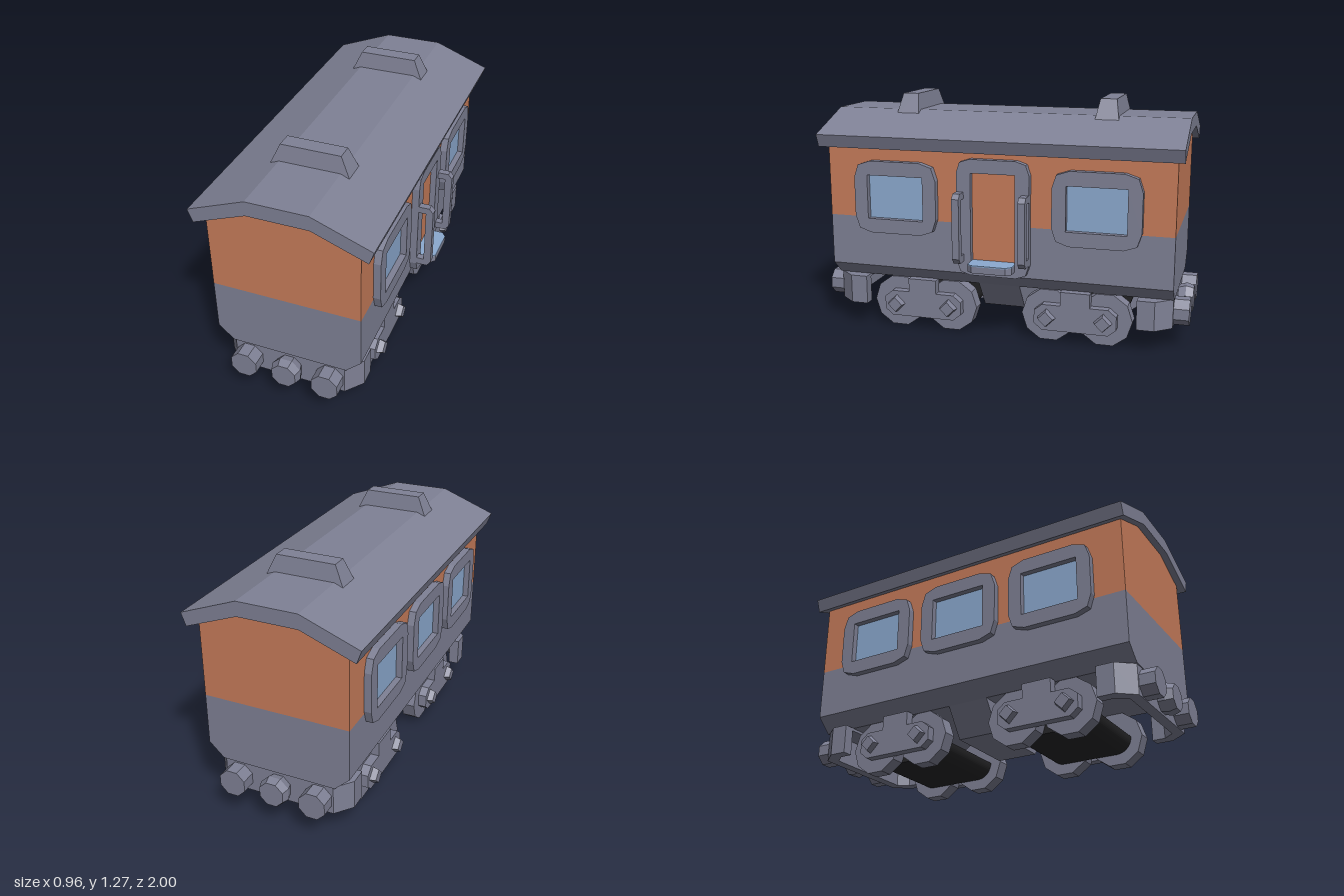
import * as THREE from 'three';

const mat = (name, color) => {
  const m = new THREE.MeshStandardMaterial({ color });
  m.name = name;
  return m;
};

export function createModel() {
  const grey = mat('slate grey', 0x7f8195);
  const orange = mat('terracotta', 0xc77c5a);
  const glass = mat('glass blue', 0x8caad0);
  const dark = mat('underframe dark', 0x262628);

  const model = new THREE.Group();
  model.name = 'railwayCarriage';
  const car = new THREE.Group();
  car.name = 'carriage';
  car.position.x = -0.022;
  model.add(car);

  const add = (name, geo, material, x = 0, y = 0, z = 0) => {
    const m = new THREE.Mesh(geo, material);
    m.name = name;
    m.position.set(x, y, z);
    car.add(m);
    return m;
  };
  const poly = (pts) => new THREE.Shape(pts.map(([x, y]) => new THREE.Vector2(x, y)));
  // Half profile mirrored about x = 0
  const mirrored = (pts) => poly([...pts, ...pts.map(([x, y]) => [-x, y]).reverse()]);
  // Extrude centred on its own depth, along z or turned to run along x
  const extrude = (shape, depth) =>
    new THREE.ExtrudeGeometry(shape, { depth, bevelEnabled: false, curveSegments: 2 }).translate(0, 0, -depth / 2);
  const extrudeX = (shape, depth) => extrude(shape, depth).rotateY(Math.PI / 2);

  const roundRect = (w, h, r) => {
    const a = w / 2, b = h / 2, s = new THREE.Shape();
    s.moveTo(-a + r, -b);
    s.lineTo(a - r, -b);
    s.quadraticCurveTo(a, -b, a, -b + r);
    s.lineTo(a, b - r);
    s.quadraticCurveTo(a, b, a - r, b);
    s.lineTo(-a + r, b);
    s.quadraticCurveTo(-a, b, -a, b - r);
    s.lineTo(-a, -b + r);
    s.quadraticCurveTo(-a, -b, -a + r, -b);
    return s;
  };
  const frame = (w, h, r, iw, ih, dy = 0) => {
    const s = roundRect(w, h, r);
    const [a, b] = [iw / 2, ih / 2];
    s.holes.push(new THREE.Path([[-a, dy - b], [-a, dy + b], [a, dy + b], [a, dy - b]]
      .map(([x, y]) => new THREE.Vector2(x, y))));
    return s;
  };

  // Body shell
  add('lowerBody', extrude(mirrored([[0.305, 0.28], [0.384, 0.355], [0.384, 0.626]]), 1.85), grey);
  add('upperBody', extrude(mirrored([[0.384, 0.626], [0.384, 1.03], [0.157, 1.115]]), 1.85), orange);

  // Angled roof with raised vents
  add('roof', extrude(mirrored([[0.157, 1.108], [0.433, 1.003], [0.457, 1.07], [0.157, 1.185]]), 1.92), grey);
  for (const z of [0.54, -0.54]) {
    const vent = extrude(mirrored([[0.204, 1.163], [0.155, 1.27]]), 0.124);
    const p = vent.attributes.position;
    for (let i = 0; i < p.count; i++) if (p.getY(i) > 1.2) p.setZ(i, p.getZ(i) * 0.68);
    vent.computeVertexNormals();
    add('roofVent', vent, grey, 0, 0, z);
  }

  // Windows: two beside the door, three on the other side
  const windowAt = (side, z) => {
    add('windowFrame', extrudeX(frame(0.456, 0.386, 0.09, 0.31, 0.234), 0.04), grey, side * 0.401, 0.743, z);
    add('windowGlass', new THREE.BoxGeometry(0.008, 0.25, 0.325), glass, side * 0.385, 0.743, z);
  };
  for (const z of [0.537, -0.537]) windowAt(1, z);
  for (const z of [0.537, 0, -0.537]) windowAt(-1, z);

  // Door with frame, step and handrails
  add('doorFrame', extrudeX(frame(0.386, 0.612, 0.07, 0.236, 0.505, -0.018), 0.04), grey, 0.401, 0.665, 0);
  add('doorPanel', new THREE.BoxGeometry(0.008, 0.52, 0.25), orange, 0.385, 0.647, 0);
  const stepShape = poly([[0.38, -0.118], [0.475, -0.118], [0.499, -0.09], [0.499, 0.09], [0.475, 0.118], [0.38, 0.118]]);
  const slab = (h) => extrude(stepShape, h).rotateX(-Math.PI / 2);
  add('doorStep', slab(0.034), grey, 0, 0.412, 0);
  add('stepTread', slab(0.006), glass, 0, 0.432, 0);
  const rail = poly([[0.415, 0.433], [0.478, 0.433], [0.499, 0.46], [0.499, 0.775], [0.478, 0.8], [0.415, 0.8],
    [0.415, 0.765], [0.46, 0.765], [0.46, 0.47], [0.415, 0.47]]);
  for (const z of [0.174, -0.174]) add('handrail', extrude(rail, 0.038), grey, 0, 0, z);

  // Equipment box under the floor
  add('underfloorBox', extrude(mirrored([[0.2, 0.13], [0.305, 0.28]]), 0.226), grey);

  // Bogies: dark rounded core, wheels, side frames and axle caps
  const core = new THREE.Shape();
  core.moveTo(-0.234, 0.27);
  core.absarc(-0.15, 0.14, 0.084, Math.PI, Math.PI * 1.5);
  core.absarc(0.15, 0.14, 0.084, Math.PI * 1.5, Math.PI * 2);
  core.lineTo(0.234, 0.27);
  const coreGeo = new THREE.ExtrudeGeometry(core, { depth: 0.464, bevelEnabled: false, curveSegments: 8 })
    .translate(0, 0, -0.232).rotateY(Math.PI / 2);
  const sideFrame = mirrored([[0.175, 0.07], [0.218, 0.105], [0.218, 0.175], [0.175, 0.21], [0.078, 0.21], [0.078, 0.285]]);
  for (const bz of [0.422, -0.422]) {
    add('bogieCore', coreGeo, dark, 0, 0, bz);
    for (const side of [1, -1]) {
      add('bogieSideFrame', extrudeX(sideFrame, 0.05), grey, side * 0.328, 0, bz);
      for (const dz of [0.15, -0.15]) {
        const wheel = new THREE.CylinderGeometry(0.145, 0.145, 0.075, 10).toNonIndexed();
        wheel.rotateZ(Math.PI / 2);
        wheel.computeVertexNormals();
        add('wheel', wheel, grey, side * 0.27, 0.14, bz + dz);
        const cap = new THREE.CylinderGeometry(0.04, 0.05, 0.035, 4).toNonIndexed();
        cap.rotateZ(-side * Math.PI / 2);
        cap.computeVertexNormals();
        add('axleCap', cap, grey, side * 0.367, 0.14, bz + dz);
      }
    }
  }

  // End beams (U-shaped in plan) with round bumpers and a central coupler
  const beam = mirrored([[0.367, 0.743], [0.367, 0.834], [0.295, 0.92]]);
  const beamU = poly([[0.367, 0.743], [0.367, 0.834], [0.295, 0.92], [-0.295, 0.92], [-0.367, 0.834], [-0.367, 0.743],
    [-0.31, 0.743], [-0.31, 0.81], [-0.265, 0.865], [0.265, 0.865], [0.31, 0.81], [0.31, 0.743]]);
  const octagon = (rFront, rBack, len) => {
    const g = new THREE.CylinderGeometry(rFront, rBack, len, 8).toNonIndexed();
    g.rotateY(Math.PI / 8).rotateX(Math.PI / 2);
    g.computeVertexNormals();
    return g;
  };
  for (const end of [1, -1]) {
    const addEnd = (name, geo, x, y, z) => {
      add(name, geo, grey, x, y, end * z).rotation.y = end > 0 ? 0 : Math.PI;
    };
    addEnd('endBeam', extrude(beamU, 0.14).rotateX(Math.PI / 2), 0, 0.196, 0);
    addEnd('endBeamTop', extrude(beam, 0.015).rotateX(Math.PI / 2), 0, 0.2735, 0);
    for (const x of [0.218, -0.218]) addEnd('bumper', octagon(0.074, 0.074, 0.09), x, 0.2, 0.955);
    addEnd('couplerStem', octagon(0.081, 0.065, 0.05), 0, 0.2, 0.935);
    addEnd('couplerHead', octagon(0.068, 0.081, 0.04), 0, 0.2, 0.98);
  }
  return model;
}
